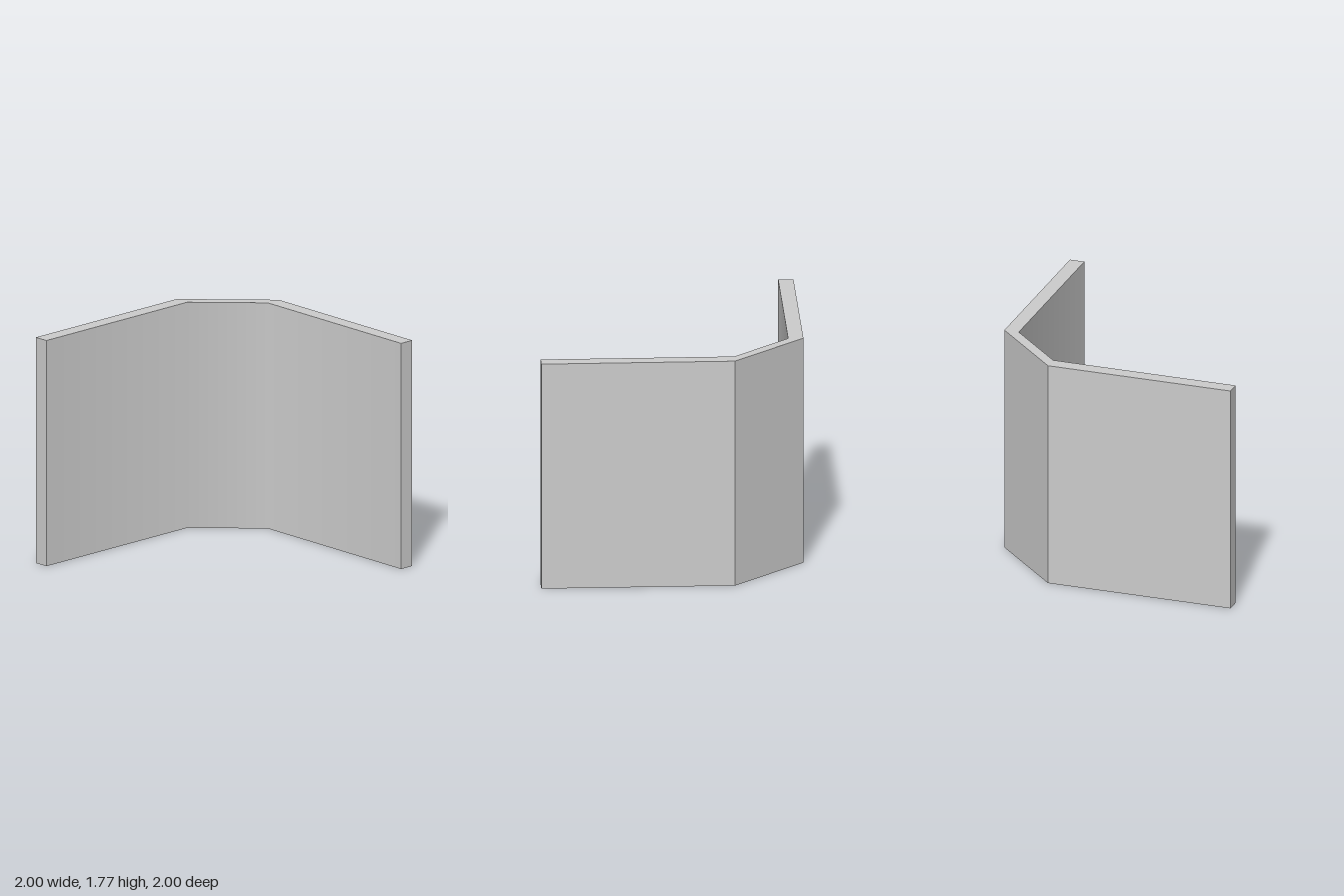
import * as THREE from 'three';

const HEIGHT = 1.77;
const OUTER = 1;      // outer face of both walls
const INNER = 0.885;  // inner face of both walls
const BEND = 0.457;   // where the chamfered corner starts

// Floor plan as [x, z], mirrored about the diagonal
const plan = [
  [-OUTER, OUTER], [-INNER, OUTER], [-INNER, -BEND], [-BEND, -INNER],
  [OUTER, -INNER], [OUTER, -OUTER], [-BEND, -OUTER], [-OUTER, -BEND],
];

export function createModel() {
  const shape = new THREE.Shape(plan.map(([x, z]) => new THREE.Vector2(x, -z)));
  const geometry = new THREE.ExtrudeGeometry(shape, { depth: HEIGHT, bevelEnabled: false });
  geometry.rotateX(-Math.PI / 2);

  // Blend the normals at the two inner bends, weighted by face width
  const wall = OUTER + BEND;
  const slant = INNER - BEND; // diagonal width times cos 45
  const { position, normal } = geometry.attributes;
  const blended = new THREE.Vector3();
  const near = (a, b) => Math.abs(a - b) < 1e-4;
  for (let i = 0; i < position.count; i++) {
    if (Math.abs(normal.getY(i)) > 0.5) continue;
    const x = position.getX(i), z = position.getZ(i);
    if (near(x, -INNER) && near(z, -BEND)) blended.set(wall + slant, 0, slant);
    else if (near(x, -BEND) && near(z, -INNER)) blended.set(slant, 0, wall + slant);
    else continue;
    blended.normalize();
    normal.setXYZ(i, blended.x, blended.y, blended.z);
  }

  const mesh = new THREE.Mesh(geometry, new THREE.MeshStandardMaterial({ color: 0xcccccc }));
  mesh.name = 'cornerWall';
  const group = new THREE.Group();
  group.name = 'chamferedCornerWall';
  group.add(mesh);
  return group;
}
